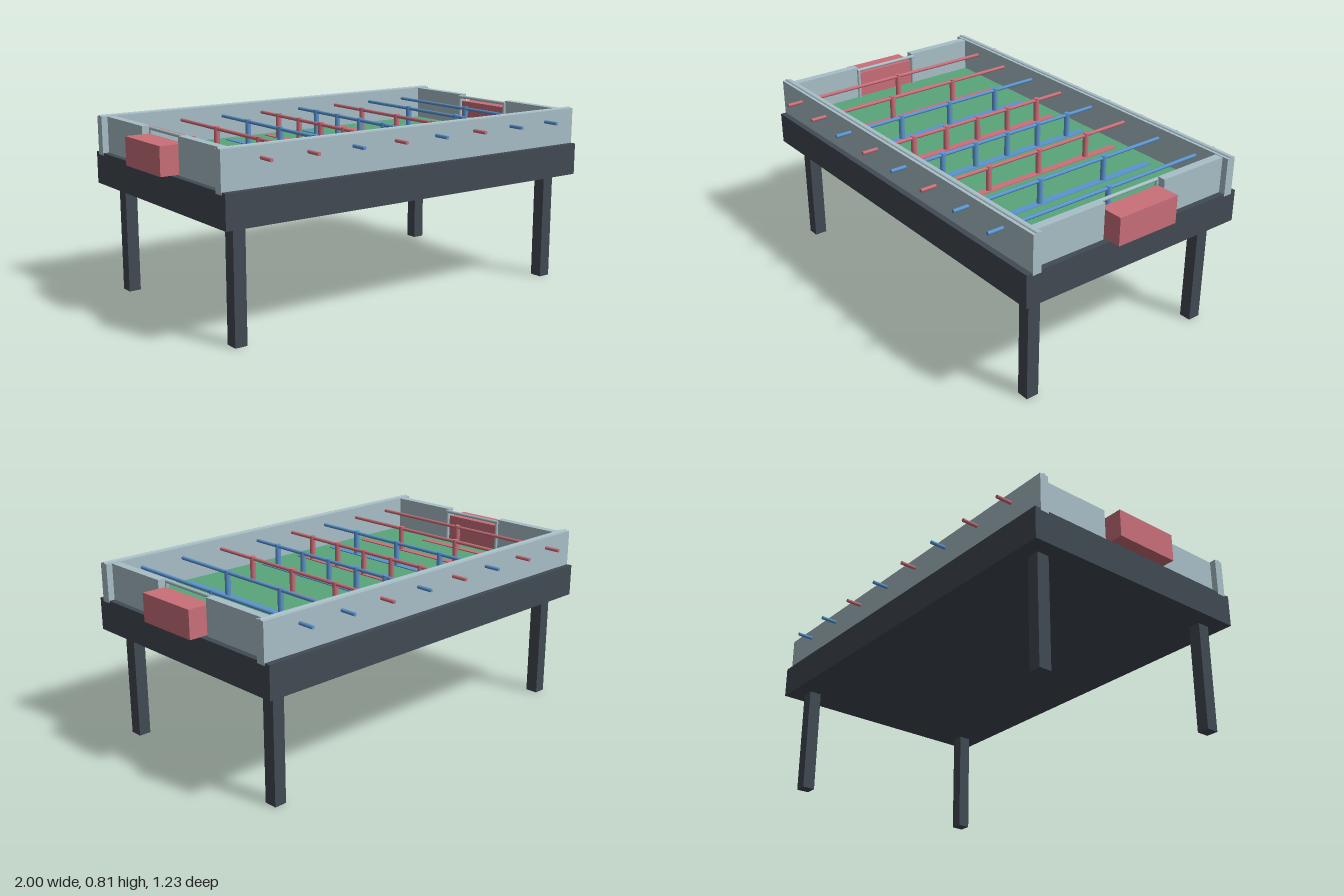
import * as THREE from 'three';

const mat = (name, color) => {
  const m = new THREE.MeshStandardMaterial({ color });
  m.name = name;
  return m;
};

export function createModel() {
  const dark = mat('dark slate', 0x414a53);
  const grey = mat('pale grey blue', 0xa8bfc7);
  const green = mat('field green', 0x59a67b);
  const red = mat('team red', 0xc96f79);
  const blue = mat('team blue', 0x5b94cf);

  const model = new THREE.Group();
  model.name = 'footballTable';

  const add = (name, geo, m, x, y, z, parent = model) => {
    const mesh = new THREE.Mesh(geo, m);
    mesh.name = name;
    mesh.position.set(x, y, z);
    parent.add(mesh);
    return mesh;
  };
  // Box given by its minimum and maximum on each axis
  const box = (name, m, x0, x1, y0, y1, z0, z1, parent) =>
    add(name, new THREE.BoxGeometry(x1 - x0, y1 - y0, z1 - z0), m,
      (x0 + x1) / 2, (y0 + y1) / 2, (z0 + z1) / 2, parent);
  const rodGeo = (r, length, axis) => {
    const g = new THREE.CylinderGeometry(r, r, length, 12);
    if (axis === 'x') g.rotateZ(Math.PI / 2);
    if (axis === 'z') g.rotateX(Math.PI / 2);
    return g;
  };

  // Cabinet and playing field
  box('cabinet', dark, -0.946, 0.946, 0.497, 0.642, -0.567, 0.567);
  box('field', green, -0.885, 0.885, 0.642, 0.65, -0.5, 0.5);

  // Legs
  for (const sx of [-1, 1]) for (const sz of [-1, 1])
    add('leg', new THREE.BoxGeometry(0.056, 0.5, 0.059), dark, sx * 0.847, 0.25, sz * 0.468);

  // Long side walls with a slim rail on top
  for (const s of [-1, 1]) {
    add('sideWall', new THREE.BoxGeometry(1.896, 0.174, 0.042), grey, 0, 0.719, s * 0.519);
    add('topRail', rodGeo(0.007, 1.896, 'x'), grey, 0, 0.805, s * 0.519);
  }

  // End walls, goal boxes and goal frames
  for (const sx of [-1, 1]) {
    for (const sz of [-1, 1]) {
      add('endWall', new THREE.BoxGeometry(0.038, 0.162, 0.34), grey, sx * 0.9, 0.723, sz * 0.33);
      add('goalPost', rodGeo(0.008, 0.15, 'y'), grey, sx * 0.878, 0.717, sz * 0.159);
    }
    add('goalBox', new THREE.BoxGeometry(0.113, 0.125, 0.308), red, sx * 0.9435, 0.7075, 0);
    add('crossbar', rodGeo(0.008, 0.334, 'z'), grey, sx * 0.878, 0.792, 0);
  }

  // Playing rods: x, colour, figure positions along z, half length of floor strip
  const one = [0], two = [-0.175, 0.175], three = [-0.27, 0, 0.27];
  const five = [-0.35, -0.175, 0, 0.175, 0.35];
  const rods = [
    [-0.768, red, one, 0.22], [-0.549, red, two, 0.445],
    [-0.329, blue, three, 0.445], [-0.11, red, five, 0.445],
    [0.11, blue, five, 0.445], [0.329, red, three, 0.445],
    [0.549, blue, two, 0.445], [0.768, blue, one, 0.2],
  ];
  for (const [x, m, spots, half] of rods) {
    const rod = new THREE.Group();
    rod.name = 'playingRod';
    model.add(rod);
    add('rod', rodGeo(0.008, 1.226, 'z'), m, x, 0.757, 0, rod);
    box('floorStrip', m, x - 0.017, x + 0.017, 0.65, 0.654, -half, half, rod);
    for (const z of spots) add('figure', rodGeo(0.013, 0.115, 'y'), m, x, 0.7095, z, rod);
  }

  return model;
}
